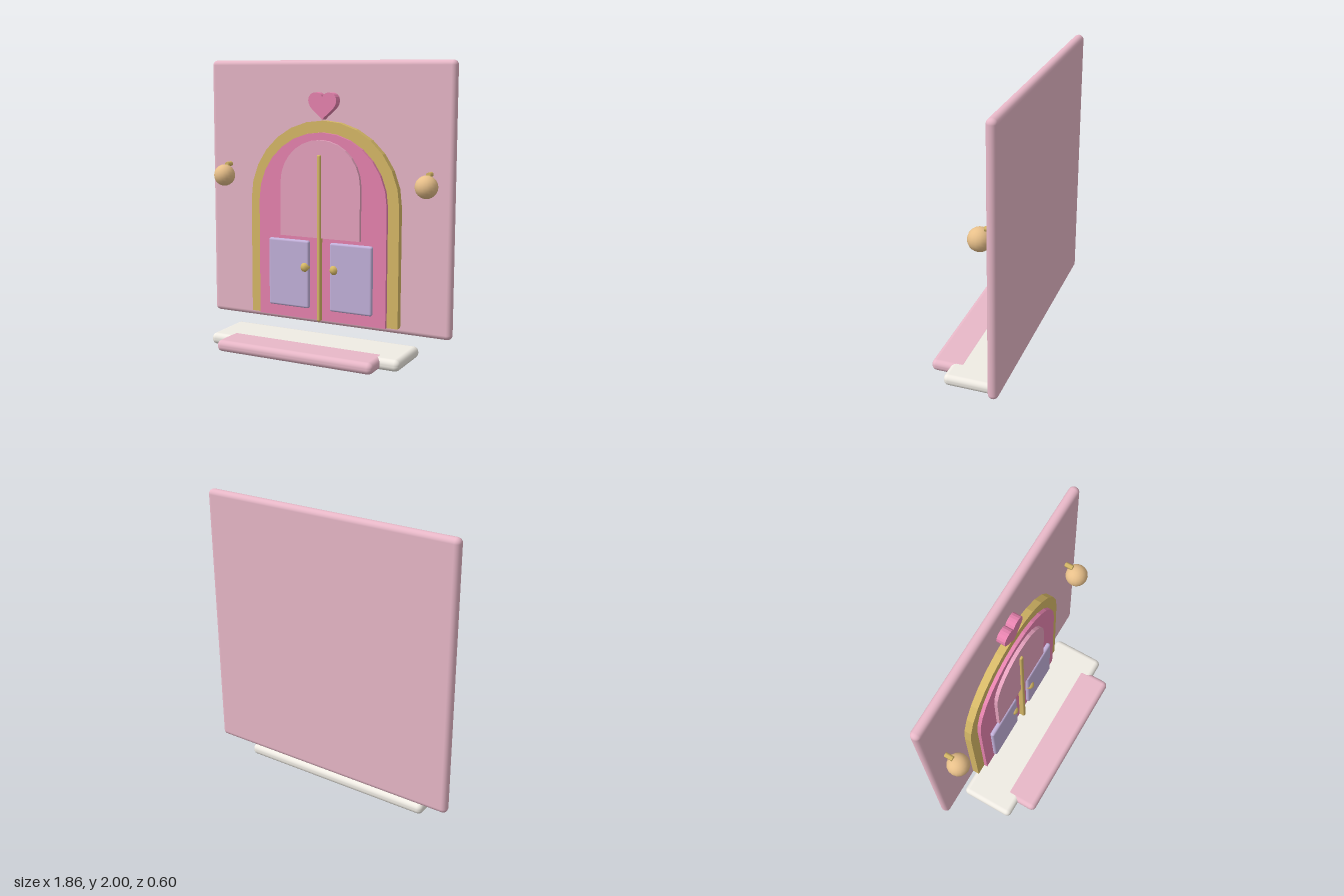
import * as THREE from 'three';
import { RoundedBoxGeometry } from 'three/addons/geometries/RoundedBoxGeometry.js';

const mat = (color) => new THREE.MeshStandardMaterial({ color });
const wallPink = mat(0xe8b8c8), doorPink = mat(0xe884b0), windowPink = mat(0xe8a4c0);
const gold = mat(0xd8ba68), lilac = mat(0xc4b2dc), cream = mat(0xf0ece4), tan = mat(0xe8c08a);

export function createModel() {
  const model = new THREE.Group();
  model.name = 'doorway';

  const add = (name, geometry, material, x = 0, y = 0, z = 0) => {
    const mesh = new THREE.Mesh(geometry, material);
    mesh.name = name;
    mesh.position.set(x, y, z);
    model.add(mesh);
    return mesh;
  };

  // Rounded slab given by its extents
  const slab = (name, material, [x0, x1], [y0, y1], [z0, z1], r) =>
    add(name, new RoundedBoxGeometry(x1 - x0, y1 - y0, z1 - z0, 3, r), material,
      (x0 + x1) / 2, (y0 + y1) / 2, (z0 + z1) / 2);

  // Round-topped outline: half width r, from bottom up to top
  const arch = (r, bottom, top, Type = THREE.Shape) => {
    const s = new Type();
    s.moveTo(-r, bottom);
    s.lineTo(r, bottom);
    s.lineTo(r, top - r);
    s.absarc(0, top - r, r, 0, Math.PI, false);
    s.closePath();
    return s;
  };
  const plate = (name, shape, material, z0, z1) =>
    add(name, new THREE.ExtrudeGeometry(shape, { depth: z1 - z0, bevelEnabled: false, curveSegments: 7 }),
      material, 0, 0, z0);

  // Wall and steps
  slab('wall', wallPink, [-0.93, 0.93], [0.14, 2], [-0.3, -0.23], 0.034);
  slab('landing', cream, [-0.715, 0.715], [0.003, 0.083], [-0.23, 0.16], 0.036);
  slab('frontStep', wallPink, [-0.585, 0.585], [0.004, 0.084], [0.045, 0.297], 0.036);

  // Arched frame, door and window
  const frame = arch(0.57, 0.19, 1.59);
  frame.holes.push(arch(0.488, 0.191, 1.508, THREE.Path));
  plate('archFrame', frame, gold, -0.235, -0.18);
  plate('door', arch(0.49, 0.19, 1.51), doorPink, -0.235, -0.155);
  plate('archWindow', arch(0.305, 0.78, 1.46), windowPink, -0.16, -0.13);
  slab('centreBar', gold, [-0.014, 0.014], [0.19, 1.36], [-0.157, -0.113], 0.011);

  // Heart above the arch
  const heart = new THREE.Shape();
  heart.moveTo(0, 1.597);
  heart.bezierCurveTo(0.03, 1.635, 0.107, 1.67, 0.107, 1.728);
  heart.bezierCurveTo(0.107, 1.79, 0.02, 1.8, 0, 1.75);
  heart.bezierCurveTo(-0.02, 1.8, -0.107, 1.79, -0.107, 1.728);
  heart.bezierCurveTo(-0.107, 1.67, -0.03, 1.635, 0, 1.597);
  plate('heart', heart, doorPink, -0.232, -0.17);

  // Mirrored panels, knobs and hanging globes
  for (const [side, s] of [['left', 1], ['right', -1]]) {
    slab(side + 'Panel', lilac, s > 0 ? [0.08, 0.4] : [-0.4, -0.08], [0.27, 0.755], [-0.157, -0.123], 0.016);
    add(side + 'Knob', new THREE.SphereGeometry(0.036, 8, 6), gold, s * 0.113, 0.565, -0.137);
    add(side + 'Globe', new THREE.SphereGeometry(0.077, 16, 12), tan, s * 0.773, 1.18, -0.14);
    const stem = add(side + 'GlobeStem', new THREE.CylinderGeometry(0.018, 0.018, 0.065, 6), gold,
      s * 0.773, 1.255, -0.205);
    stem.rotation.x = Math.PI / 2;
  }
  return model;
}
